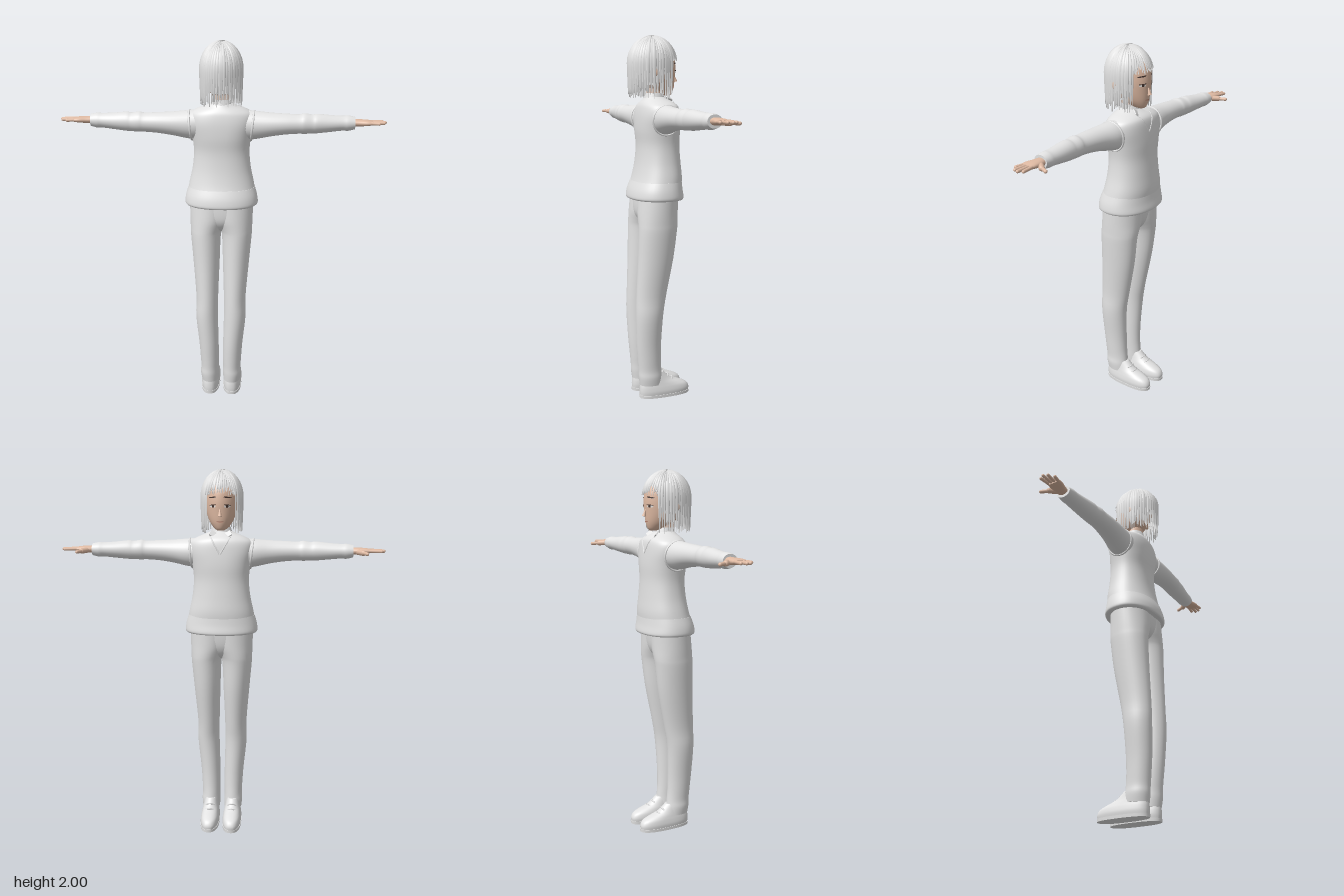
import * as THREE from 'three';

const mat = (name, color, side = THREE.DoubleSide) => {
  const m = new THREE.MeshStandardMaterial({ color, side });
  m.name = name;
  return m;
};

// Rows are [height, centreX, centreZ, radiusX, radiusZ, squareness]; resampled with a spline.
function smoothRows(rows, steps = 4) {
  const out = [];
  for (let i = 0; i < rows.length - 1; i++) {
    const r = [-1, 0, 1, 2].map((k) => rows[Math.min(rows.length - 1, Math.max(0, i + k))]);
    for (let s = 0; s < steps; s++) {
      const t = s / steps;
      out.push(r[1].map((b, c) => {
        const a = r[0][c], d = r[2][c], e = r[3][c];
        return b + 0.5 * t * (d - a + t * (2 * a - 5 * b + 4 * d - e + t * (3 * (b - d) + e - a)));
      }));
    }
  }
  out.push(rows[rows.length - 1]);
  return out;
}

// Closed skin over rows that run upwards, with flat end caps.
function loft(rows, n = 36) {
  const pos = [], idx = [];
  const ring = ([y, cx, cz, rx, rz, e]) => {
    for (let j = 0; j < n; j++) {
      const c = Math.cos((j / n) * Math.PI * 2), s = Math.sin((j / n) * Math.PI * 2);
      pos.push(cx + rx * Math.sign(c) * Math.abs(c) ** e, y, cz + rz * Math.sign(s) * Math.abs(s) ** e);
    }
  };
  rows.forEach(ring);
  for (let i = 0; i < rows.length - 1; i++) {
    for (let j = 0; j < n; j++) {
      const a = i * n + j, b = i * n + ((j + 1) % n);
      idx.push(a, a + n, b, b, a + n, b + n);
    }
  }
  [rows[0], rows[rows.length - 1]].forEach((r, top) => {
    const base = pos.length / 3;
    ring(r);
    pos.push(r[1], r[0], r[2]);
    for (let j = 0; j < n; j++) {
      const a = base + j, b = base + ((j + 1) % n);
      idx.push(base + n, ...(top ? [b, a] : [a, b]));
    }
  });
  const g = new THREE.BufferGeometry();
  g.setAttribute('position', new THREE.Float32BufferAttribute(pos, 3));
  g.setIndex(idx);
  g.computeVertexNormals();
  return g;
}

// Row from side limits instead of centre and radius.
const span = (y, x0, x1, z0, z1, e = 1) => [y, (x0 + x1) / 2, (z0 + z1) / 2, (x1 - x0) / 2, (z1 - z0) / 2, e];

// Front (-z) surface depth of a lofted body.
function frontZ(rows, x, y) {
  let i = 0;
  while (i < rows.length - 2 && rows[i + 1][0] < y) i++;
  const t = (y - rows[i][0]) / (rows[i + 1][0] - rows[i][0]);
  const [, cx, cz, rx, rz, e] = rows[i].map((v, c) => v + (rows[i + 1][c] - v) * t);
  return cz - rz * Math.max(0, 1 - Math.min(1, Math.abs((x - cx) / rx)) ** (2 / e)) ** (e / 2);
}

function tube(points, radius) {
  const curve = new THREE.CatmullRomCurve3(points.map((p) => new THREE.Vector3(...p)));
  return new THREE.TubeGeometry(curve, 16, radius, 6);
}

function capsule(a, b, radius) {
  const p = new THREE.Vector3(...a), q = new THREE.Vector3(...b);
  const g = new THREE.CapsuleGeometry(radius, p.distanceTo(q), 4, 10);
  const turn = new THREE.Quaternion().setFromUnitVectors(new THREE.Vector3(0, 1, 0), q.clone().sub(p).normalize());
  return g.applyQuaternion(turn).translate(...p.add(q).multiplyScalar(0.5).toArray());
}

// Tapered hair strands hanging from the crown; angle 0 is the front.
function hairGeometry() {
  const pos = [], idx = [], steps = 14, count = 50;
  let seed = 7;
  const rand = () => (seed = (seed * 16807) % 2147483647) / 2147483647;
  for (let layer = 0; layer < 2; layer++) {
    for (let s = 0; s < count; s++) {
      const mid = ((s + layer / 2 + rand() * 0.4) / count) * Math.PI * 2 - Math.PI;
      const f = Math.abs(mid);
      const end = f < 0.8 ? 1.868 + rand() * 0.03 : 1.67 + rand() * 0.035;
      const length = 0.14 * Math.PI / 2 + 1.86 - end;
      const lift = (layer ? -0.007 : 0) + rand() * 0.005;
      const base = pos.length / 3;
      for (let i = 0; i <= steps; i++) {
        const u = (i / steps) * length, phi = Math.min(u / 0.14, Math.PI / 2);
        const y = u < 0.22 ? 1.858 + 0.14 * Math.cos(phi) : 1.858 - (u - 0.22);
        const k = Math.sin(phi) * (1 - 0.3 * Math.max(0, 1.84 - y));
        const w = (f > 0.8 && f < 1.1 ? 0.06 : 0.085) * Math.min(1, 0.1 + (1 - i / steps) * 2.2);
        [-1, 0, 1].forEach((side) => {
          const a = mid + side * w, out = lift + (side ? -0.005 : 0.002);
          pos.push(Math.sin(a) * k * (0.11 + out), y + out * Math.cos(phi), 0.03 - Math.cos(a) * k * (0.133 + out));
        });
        if (i < steps) {
          for (let c = 0; c < 2; c++) {
            const a = base + i * 3 + c;
            idx.push(a, a + 1, a + 3, a + 1, a + 4, a + 3);
          }
        }
      }
    }
  }
  const g = new THREE.BufferGeometry();
  g.setAttribute('position', new THREE.Float32BufferAttribute(pos, 3));
  g.setIndex(idx);
  g.computeVertexNormals();
  return g;
}

export function createModel() {
  const model = new THREE.Group();
  model.name = 'standingFigure';
  const cloth = mat('clothGrey', 0xe2e2e2, THREE.FrontSide), hair = mat('hairGrey', 0xe4e4e4);
  const skin = mat('skin', 0xdfbaa3, THREE.FrontSide), dark = mat('darkBrown', 0x43332e);
  const white = mat('eyeWhite', 0xe6e2de), lip = mat('lip', 0xbd8674);
  const add = (parent, name, geometry, material) => {
    const mesh = new THREE.Mesh(geometry, material);
    mesh.name = name;
    parent.add(mesh);
  };

  // Head, neck and face
  const headRows = smoothRows([
    span(1.685, -0.018, 0.018, -0.07, -0.03), span(1.697, -0.036, 0.036, -0.082, 0.02), span(1.73, -0.061, 0.061, -0.092, 0.07),
    span(1.78, -0.08, 0.08, -0.097, 0.11), span(1.84, -0.088, 0.088, -0.1, 0.13), span(1.9, -0.084, 0.084, -0.09, 0.125),
    span(1.95, -0.055, 0.055, -0.05, 0.09), span(1.97, -0.01, 0.01, 0, 0.04)]);
  add(model, 'head', loft(headRows), skin);
  add(model, 'neck', new THREE.CylinderGeometry(0.043, 0.05, 0.13, 24).translate(0, 1.68, 0.02), skin);
  const nose = new THREE.ConeGeometry(0.011, 0.05, 12).rotateX(0.25);
  add(model, 'nose', nose.translate(0, 1.784, -0.1), skin);
  const decal = (name, cx, cy, w, h, material, lift, tilt = 0) => {
    const g = new THREE.CircleGeometry(1, 20).rotateY(Math.PI).scale(w, h, 1).rotateZ(tilt).translate(cx, cy, 0);
    const p = g.attributes.position;
    for (let i = 0; i < p.count; i++) p.setZ(i, frontZ(headRows, p.getX(i), p.getY(i)) - lift);
    g.computeVertexNormals();
    add(model, name, g, material);
  };
  decal('mouth', 0, 1.732, 0.018, 0.0035, lip, 0.002);
  for (const s of [-1, 1]) {
    decal('eyeWhite', s * 0.038, 1.812, 0.016, 0.007, white, 0.002);
    decal('iris', s * 0.037, 1.812, 0.0065, 0.007, dark, 0.003);
    decal('upperLash', s * 0.039, 1.819, 0.018, 0.0025, dark, 0.004, -s * 0.1);
    decal('eyebrow', s * 0.04, 1.858, 0.021, 0.0035, dark, 0.003, -s * 0.12);
    add(model, 'ear', new THREE.SphereGeometry(1, 16, 12).scale(0.014, 0.028, 0.016).translate(s * 0.096, 1.81, 0.045), skin);
  }

  // Hair
  const cap = new THREE.SphereGeometry(1, 32, 12, 0, Math.PI * 2, 0, Math.PI / 2.2);
  add(model, 'hairCap', cap.scale(0.1, 0.132, 0.122).translate(0, 1.857, 0.03), hair);
  add(model, 'hairStrands', hairGeometry(), hair);

  // Knitted vest
  const vestRows = smoothRows([
    span(1.19, -0.186, 0.186, -0.118, 0.15, 0.9), span(1.25, -0.175, 0.175, -0.122, 0.132, 0.9), span(1.33, -0.158, 0.158, -0.116, 0.117, 0.9),
    span(1.42, -0.15, 0.15, -0.11, 0.11, 0.9), span(1.5, -0.158, 0.158, -0.11, 0.115, 0.85), span(1.57, -0.17, 0.17, -0.105, 0.113, 0.8),
    span(1.62, -0.168, 0.168, -0.098, 0.105, 0.85), span(1.645, -0.135, 0.135, -0.085, 0.095, 0.9),
    span(1.665, -0.085, 0.085, -0.055, 0.08, 1), span(1.68, -0.052, 0.052, -0.03, 0.07, 1)]);
  add(model, 'vestBody', loft(vestRows, 48), cloth);
  add(model, 'vestHem', loft(smoothRows([
    span(1.128, -0.19, 0.19, -0.125, 0.158, 0.9), span(1.14, -0.199, 0.199, -0.13, 0.165, 0.9),
    span(1.18, -0.194, 0.194, -0.124, 0.158, 0.9), span(1.225, -0.181, 0.181, -0.12, 0.141, 0.9)]), 48), cloth);
  for (const s of [-1, 1]) {
    const trim = [0, 1, 2, 3, 4].map((i) => {
      const x = s * (0.002 + i * 0.013), y = 1.565 + i * 0.022;
      return [x, y, frontZ(vestRows, x, y) + 0.001];
    });
    add(model, 'neckTrim', tube(trim, 0.004), cloth);
    const flap = new THREE.BoxGeometry(0.05, 0.035, 0.006).rotateX(0.8).rotateZ(s * 0.5);
    add(model, 'collarFlap', flap.translate(s * 0.034, 1.662, -0.052), cloth);
  }
  add(model, 'shirtCollar', new THREE.CylinderGeometry(0.049, 0.062, 0.045, 28).translate(0, 1.678, 0.018), cloth);

  // Trouser seat, filling the valley between the legs
  add(model, 'trouserSeat', loft(smoothRows([
    span(0.975, -0.02, 0.02, 0.0, 0.06), span(1.0, -0.07, 0.07, -0.045, 0.1), span(1.04, -0.12, 0.12, -0.071, 0.126, 0.9),
    span(1.09, -0.16, 0.16, -0.083, 0.133, 0.9), span(1.17, -0.174, 0.174, -0.09, 0.13, 0.9)])), cloth);

  // Arms, legs and feet, mirrored
  for (const s of [1, -1]) {
    const half = new THREE.Group();
    half.name = s > 0 ? 'leftLimbs' : 'rightLimbs';
    half.scale.x = s;
    model.add(half);

    // Sleeve rows run along x as [x, -y, z, radiusY, radiusZ]
    const sleeve = smoothRows([
      [0.12, -1.562, 0.012, 0.08, 0.072, 1], [0.18, -1.562, 0.014, 0.075, 0.073, 1], [0.26, -1.567, 0.022, 0.063, 0.066, 1],
      [0.34, -1.571, 0.025, 0.055, 0.06, 1], [0.41, -1.572, 0.024, 0.051, 0.055, 1], [0.44, -1.574, 0.022, 0.054, 0.056, 1],
      [0.48, -1.572, 0.018, 0.05, 0.053, 1], [0.51, -1.574, 0.016, 0.051, 0.053, 1], [0.58, -1.574, 0.009, 0.044, 0.049, 1],
      [0.64, -1.575, 0.003, 0.039, 0.045, 1], [0.67, -1.575, 0.001, 0.04, 0.045, 1], [0.705, -1.576, -0.001, 0.033, 0.04, 1]]);
    add(half, 'sleeve', loft(sleeve, 28).rotateZ(-Math.PI / 2), cloth);
    const rim = new THREE.TorusGeometry(1, 0.06, 8, 36).rotateY(Math.PI / 2).scale(0.1, 0.079, 0.077);
    add(half, 'armholeRim', rim.rotateZ(-0.1).translate(0.165, 1.558, 0.013), cloth);

    // Hand
    const palm = smoothRows([
      [0.69, -1.577, -0.002, 0.019, 0.026, 1], [0.73, -1.577, -0.004, 0.018, 0.033, 0.9],
      [0.77, -1.578, 0, 0.015, 0.038, 0.8], [0.8, -1.578, 0, 0.01, 0.036, 0.8]]);
    add(half, 'palm', loft(palm, 20).rotateZ(-Math.PI / 2), skin);
    [[-0.027, 0.852, -0.036], [-0.009, 0.866, -0.013], [0.009, 0.858, 0.011], [0.026, 0.83, 0.034]].forEach(([z0, x, z1]) =>
      add(half, 'finger', capsule([0.78, 1.579, z0], [x, 1.578, z1], 0.0085), skin));
    add(half, 'thumbBase', capsule([0.722, 1.574, -0.015], [0.755, 1.571, -0.055], 0.015), skin);
    add(half, 'thumb', capsule([0.752, 1.571, -0.05], [0.772, 1.569, -0.095], 0.0095), skin);

    // Trouser leg
    add(half, 'trouserLeg', loft(smoothRows([
      span(0.075, 0.013, 0.112, -0.005, 0.13), span(0.12, 0.012, 0.117, 0, 0.136), span(0.16, 0.013, 0.114, 0.004, 0.137),
      span(0.22, 0.012, 0.117, 0.008, 0.142), span(0.32, 0.013, 0.124, 0.008, 0.15), span(0.48, 0.017, 0.14, 0, 0.156),
      span(0.6, 0.016, 0.139, -0.02, 0.153), span(0.8, 0.009, 0.155, -0.058, 0.144), span(0.95, 0.003, 0.168, -0.076, 0.14),
      span(1.0, -0.01, 0.17, -0.082, 0.139), span(1.06, -0.04, 0.172, -0.086, 0.138), span(1.16, -0.06, 0.174, -0.09, 0.13)]), 32), cloth);

    // Shoe
    add(half, 'shoe', loft(smoothRows([
      span(0.015, 0.012, 0.114, -0.163, 0.13, 0.8), span(0.035, 0.01, 0.116, -0.164, 0.131, 0.8), span(0.058, 0.013, 0.113, -0.15, 0.13, 0.8),
      span(0.076, 0.017, 0.109, -0.115, 0.128, 0.85), span(0.1, 0.022, 0.104, -0.055, 0.126, 0.9), span(0.14, 0.028, 0.098, -0.008, 0.12, 1)]), 36), cloth);
    add(half, 'sole', loft([span(0, 0.01, 0.116, -0.165, 0.132, 0.8), span(0.016, 0.009, 0.117, -0.166, 0.133, 0.8)], 36), cloth);
    [[0.1, -0.064], [0.12, -0.037]].forEach(([y, z]) =>
      add(half, 'shoelace', tube([[0.038, y - 0.01, z + 0.012], [0.063, y, z], [0.088, y - 0.01, z + 0.012]], 0.004), cloth));
  }
  return model;
}
